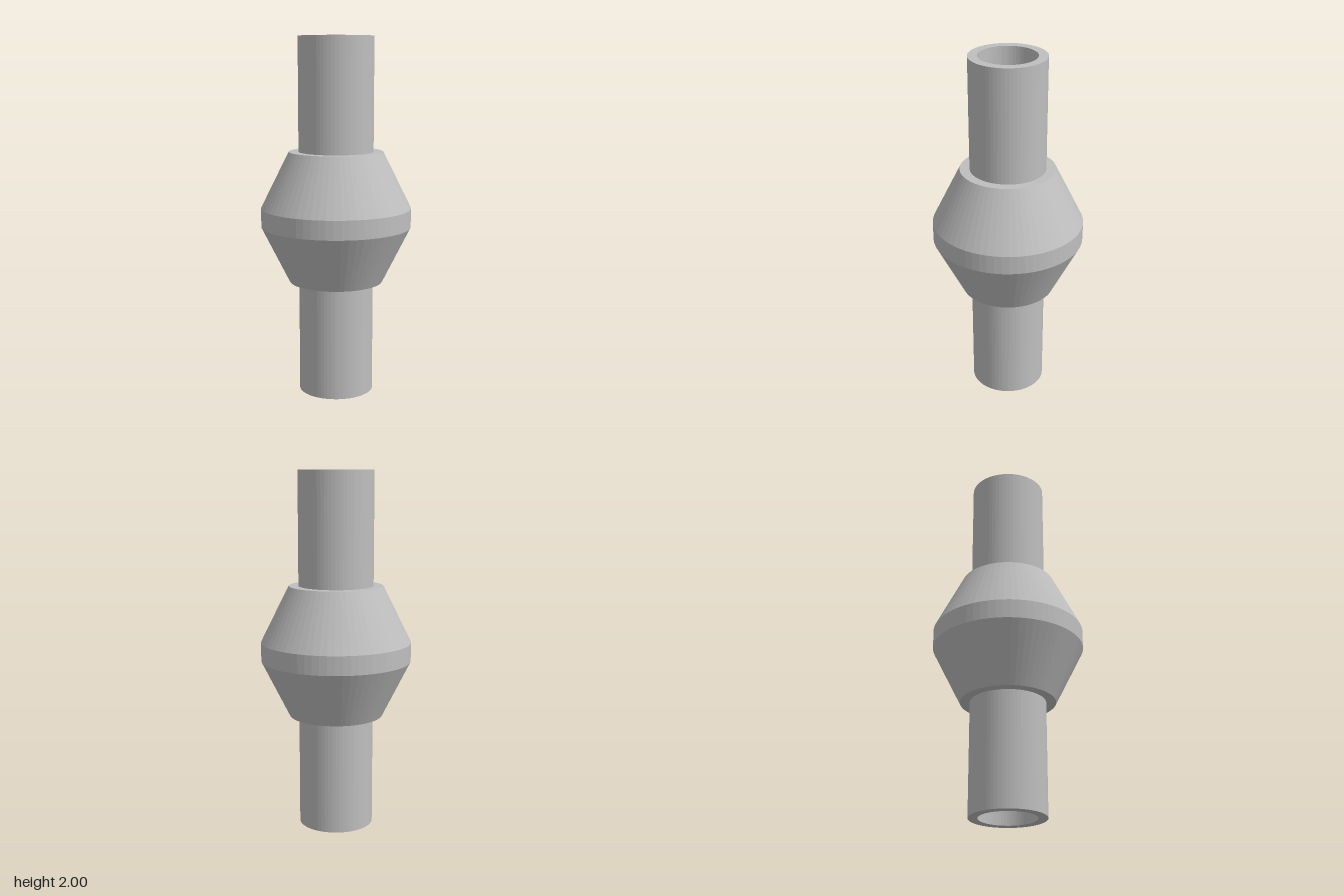
import * as THREE from 'three';

const SEGMENTS = 64;

// Flat-faceted solid of revolution; closed profile runs up the outside and down the inside.
function revolve(name, profile, material) {
  const points = profile.map(([r, y]) => new THREE.Vector2(r, y));
  const geometry = new THREE.LatheGeometry(points, SEGMENTS).toNonIndexed();
  geometry.computeVertexNormals();
  const mesh = new THREE.Mesh(geometry, material);
  mesh.name = name;
  return mesh;
}

export function createModel() {
  const model = new THREE.Group();
  model.name = 'inlineValve';
  const metal = new THREE.MeshStandardMaterial({ color: 0xbfbfbf });
  metal.name = 'grey metal';

  const pipeR = 0.209, boreR = 0.158;
  const bottom = 0.635, top = 1.37;

  // Inlet and outlet pipes
  const pipe = (name, y0, y1) => revolve(name, [
    [boreR, y0], [pipeR, y0], [pipeR, y1], [boreR, y1], [boreR, y0],
  ], metal);
  model.add(pipe('lowerPipe', 0, bottom), pipe('upperPipe', top, 2));

  // Hollow double-cone housing with a narrow cylindrical waistband
  model.add(revolve('housing', [
    [boreR, bottom], [0.263, bottom], [0.42, 0.95], [0.42, 1.055], [0.263, top], [boreR, top],
    [boreR, 1.32], [0.22, 1.32], [0.36, 1.055], [0.36, 0.95], [0.22, 0.69], [boreR, 0.69],
    [boreR, bottom],
  ], metal));

  // Inner retainer: round hub with four radial spokes
  const hubR = 0.104, spokeR = 0.21, half = 0.19;
  const outline = new THREE.Shape();
  for (let i = 0; i < 4; i++) {
    const a = i * Math.PI / 2;
    outline.absarc(0, 0, spokeR, a - half, a + half, false);
    outline.absarc(0, 0, hubR, a + half, a + Math.PI / 2 - half, false);
  }
  outline.closePath();
  const retainerGeometry = new THREE.ExtrudeGeometry(outline, {
    depth: 0.05, bevelEnabled: false, curveSegments: 12,
  });
  retainerGeometry.rotateX(-Math.PI / 2);
  const retainer = new THREE.Mesh(retainerGeometry, metal);
  retainer.name = 'spokedRetainer';
  retainer.position.y = 1.27;
  model.add(retainer);

  // Closing disc inside the chamber
  model.add(revolve('valveDisc', [
    [0, 0.69], [0.21, 0.69], [0.21, 0.74], [0, 0.74],
  ], metal));

  return model;
}
